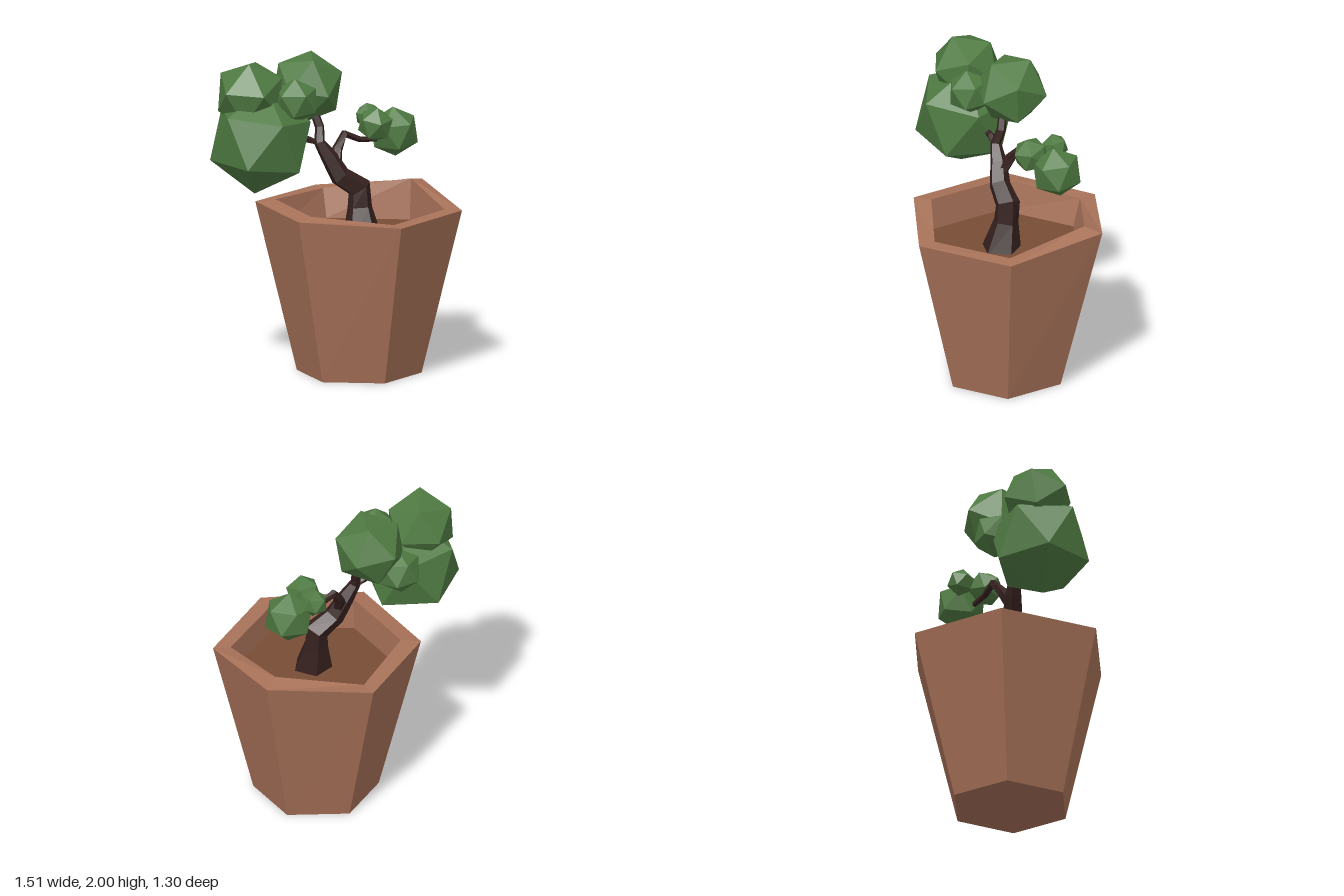
import * as THREE from 'three';

const mat = (name, color) => {
  const m = new THREE.MeshStandardMaterial({ color, flatShading: true });
  m.name = name;
  return m;
};

// Skin over closed rings of points; optional flat caps at the ends
function skin(rings, capStart, capEnd) {
  const pos = [];
  const tri = (...pts) => pts.forEach((p) => pos.push(p.x, p.y, p.z));
  const n = rings[0].length;
  for (let r = 0; r + 1 < rings.length; r++) {
    const a = rings[r], b = rings[r + 1];
    for (let i = 0; i < n; i++) {
      const j = (i + 1) % n;
      tri(a[i], b[i], a[j]);
      tri(a[j], b[i], b[j]);
    }
  }
  const last = rings[rings.length - 1];
  for (let i = 1; i + 1 < n; i++) {
    if (capStart) tri(rings[0][0], rings[0][i], rings[0][i + 1]);
    if (capEnd) tri(last[0], last[i + 1], last[i]);
  }
  const g = new THREE.BufferGeometry();
  g.setAttribute('position', new THREE.Float32BufferAttribute(pos, 3));
  g.computeVertexNormals();
  return g;
}

// Faceted limb along a path of [x, y, z, radius]
function limb(path, sides) {
  const pts = path.map((p) => new THREE.Vector3(p[0], p[1], p[2]));
  const up = new THREE.Vector3(0, 1, 0);
  const rings = pts.map((p, i) => {
    const dir = pts[Math.min(i + 1, pts.length - 1)].clone().sub(pts[Math.max(i - 1, 0)]).normalize();
    if (i === 0) dir.copy(up);
    const q = new THREE.Quaternion().setFromUnitVectors(up, dir);
    return Array.from({ length: sides }, (_, k) => {
      const a = (k / sides) * Math.PI * 2 + 1.3;
      return new THREE.Vector3(Math.cos(a), 0, Math.sin(a)).multiplyScalar(path[i][3]).applyQuaternion(q).add(p);
    });
  });
  return skin(rings, true, true);
}

export function createModel() {
  const root = new THREE.Group();
  const clay = mat('clay', 0xa87259);
  const earth = mat('earth', 0x784c35);
  const bark = mat('bark', 0x35211f);
  const leaf = mat('leaf', 0x4f7a42);
  const add = (name, geo, material) => {
    const m = new THREE.Mesh(geo, material);
    m.name = name;
    root.add(m);
    return m;
  };

  // Hexagonal pot with an uneven rim
  const ring = (list) => list.map((p) => new THREE.Vector3(...p));
  const base = ring([[0.51, 0, 0.21], [0.175, 0, 0.4], [-0.165, 0, 0.21],
    [-0.165, 0, -0.18], [0.175, 0, -0.375], [0.51, 0, -0.18]]);
  const rimOuter = ring([[0.73, 1.035, 0.33], [0.175, 1.035, 0.65], [-0.38, 1.06, 0.33],
    [-0.38, 1.06, -0.33], [0.175, 1.05, -0.65], [0.755, 1.1, -0.33]]);
  const rimInner = ring([[0.635, 1.04, 0.275], [0.175, 1.035, 0.535], [-0.27, 1.075, 0.27],
    [-0.27, 1.075, -0.27], [0.175, 1.05, -0.54], [0.65, 1.125, -0.265]]);
  const soilEdge = ring([[0.63, 0.87, 0.27], [0.175, 0.87, 0.525], [-0.265, 0.87, 0.26],
    [-0.265, 0.87, -0.24], [0.175, 0.87, -0.49], [0.63, 0.87, -0.24]]);
  add('pot', skin([base, rimOuter, rimInner, soilEdge], true, false), clay);
  add('soil', skin([soilEdge], false, true), earth);

  // Crooked trunk and branches
  add('trunk', limb([[0.18, 0.85, 0.05, 0.13], [0.18, 1.04, 0.01, 0.08], [0.18, 1.16, 0, 0.08],
    [0.06, 1.24, -0.02, 0.068], [0.0, 1.36, -0.05, 0.055], [-0.06, 1.46, -0.07, 0.036],
    [-0.045, 1.55, -0.1, 0.03], [-0.08, 1.68, -0.14, 0.028]], 5), bark);
  add('longBranch', limb([[0.03, 1.29, -0.04, 0.045], [0.07, 1.4, -0.09, 0.035], [0.135, 1.485, -0.125, 0.026],
    [0.24, 1.44, -0.13, 0.02], [0.36, 1.43, -0.14, 0.018], [0.45, 1.46, -0.16, 0.014]], 5), bark);
  add('shortBranch', limb([[-0.06, 1.45, -0.07, 0.03], [-0.13, 1.48, -0.08, 0.022],
    [-0.25, 1.5, -0.09, 0.018]], 5), bark);

  // Foliage clumps: [x, y, z, radius, tilt x, yaw, tilt z]
  const clumps = [
    [-0.45, 1.5, -0.095, 0.335, 0, 1.57, -0.12],
    [-0.5, 1.79, -0.14, 0.228, 0.35, 0.3, 0.2],
    [-0.085, 1.79, -0.2, 0.235, 0.6, 0.5, 0.1],
    [-0.25, 1.755, 0.0, 0.145, 0.1, 0.4, 0.1],
    [-0.24, 1.62, -0.29, 0.15, 0.2, 0.9, 0],
    [0.49, 1.46, -0.165, 0.162, 0.1, 0.7, 0.1],
    [0.325, 1.535, -0.08, 0.115, 0.3, 0.2, 0],
    [0.35, 1.555, -0.24, 0.088, 0.1, 1.2, 0.2],
  ];
  clumps.forEach(([x, y, z, r, rx, ry, rz], i) => {
    const g = new THREE.IcosahedronGeometry(r, 0);
    g.rotateZ(Math.atan(2 / (1 + Math.sqrt(5)))); // one corner straight up
    g.rotateY(ry).rotateX(rx).rotateZ(rz);
    add('foliage' + (i + 1), g, leaf).position.set(x, y, z);
  });
  return root;
}
